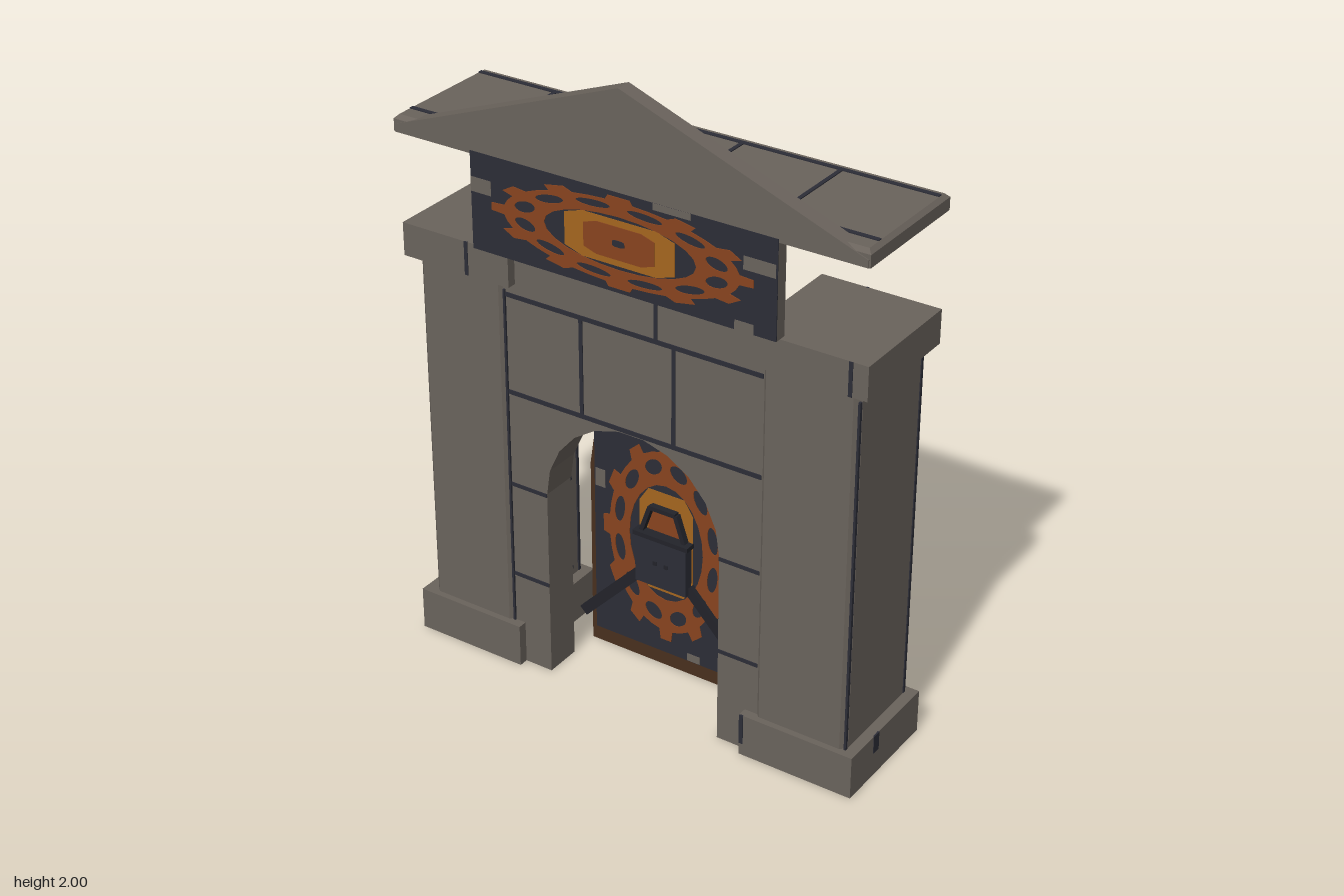
import * as THREE from 'three';

const mat = (name, color) => new THREE.MeshStandardMaterial({ name, color });

export function createModel() {
  const stone = mat('stone', 0x6a635c), dark = mat('dark slate', 0x2c2d37), wood = mat('dark wood', 0x482f1e);
  const copper = mat('copper', 0x88441f), amber = mat('amber', 0xa5661f), black = mat('black iron', 0x22232a);
  const root = new THREE.Group();

  const add = (name, geo, material, parent = root) => {
    const m = new THREE.Mesh(geo, material);
    m.name = name;
    parent.add(m);
    return m;
  };
  // Box given by its minimum and maximum on each axis
  const block = (name, x0, x1, y0, y1, z0, z1, material, parent = root) => {
    const m = add(name, new THREE.BoxGeometry(x1 - x0, y1 - y0, z1 - z0), material, parent);
    m.position.set((x0 + x1) / 2, (y0 + y1) / 2, (z0 + z1) / 2);
    return m;
  };
  const poly = (pts) => new THREE.Shape(pts.map(([x, y]) => new THREE.Vector2(x, y)));
  const slab = (shape, depth, z) =>
    new THREE.ExtrudeGeometry(shape, { depth, bevelEnabled: false }).translate(0, 0, z);
  // Faceted arch outline: half width 0.3, springing at 0.63
  const arch = () => {
    const pts = [[-0.3, 0], [0.3, 0]];
    for (let i = 0; i <= 11; i++) {
      const a = (i / 11) * Math.PI;
      pts.push([0.3 * Math.cos(a), 0.63 + 0.3 * Math.sin(a)]);
    }
    return pts;
  };

  // Pillars: base, chamfered shaft, cap
  for (const s of [-1, 1]) {
    const g = new THREE.Group();
    g.name = s > 0 ? 'leftPillar' : 'rightPillar';
    g.position.x = s * 0.5825;
    root.add(g);
    block('pillarBase', -0.1875, 0.1875, 0, 0.14, -0.2, 0.19, stone, g);
    block('pillarCap', -0.1875, 0.1875, 1.295, 1.4, -0.2, 0.19, stone, g);
    const w = 0.139, d = 0.161, c = 0.01, b = 0.014;
    const section = poly([[-w, -d + c], [-w + c, -d], [w - c, -d], [w, -d + c],
      [w, d - c], [w - c, d], [-w + c, d], [-w, d - c]]);
    const shaft = new THREE.ExtrudeGeometry(section,
      { depth: 1.165, bevelThickness: b, bevelSize: b, bevelSegments: 1 });
    shaft.rotateX(-Math.PI / 2).translate(0, 0.12, -0.005);
    add('pillarShaft', shaft, stone, g);
    // Worn dark edges
    for (const z of [-0.171, 0.161])
      block('edgeWear', 0.147, 0.154, 0.14, 1.27, z - 0.005, z + 0.005, dark, g);
    // Cracks on cap and base
    const cx = s > 0 ? 0.135 : 0.04;
    block('capCrack', cx - 0.006, cx + 0.006, 1.295, 1.4, 0.187, 0.192, dark, g);
    block('capCrackBack', -0.046, -0.036, 1.295, 1.4, -0.202, -0.197, dark, g);
    block('baseChip', 0.184, 0.189, 0.08, 0.14, 0.035, 0.065, dark, g);
    if (s > 0) block('baseCrack', -0.1875, -0.174, 0.04, 0.14, 0.187, 0.192, dark, g);
  }

  // Wall with the arched doorway
  const a = arch();
  add('archWall', slab(poly([[-0.45, 0], a[0], ...a.slice(2).reverse(), a[1],
    [0.45, 0], [0.45, 1.4], [-0.45, 1.4]]), 0.12, 0.04), stone);

  // Mortar seams on both wall faces
  for (const z of [0.16, 0.04]) {
    const seam = (x0, x1, y0, y1) => block('wallSeam', x0, x1, y0, y1, z - 0.003, z + 0.003, dark);
    for (const y of [0.938, 1.255]) seam(-0.435, 0.435, y - 0.007, y + 0.007);
    for (const x of [-0.168, 0.145]) seam(x - 0.006, x + 0.006, 0.938, 1.255);
    seam(0.08, 0.092, 1.255, 1.4);
    for (const y of [0.31, 0.625]) {
      seam(-0.435, -0.3, y - 0.006, y + 0.006);
      seam(0.3, 0.435, y - 0.006, y + 0.006);
    }
  }

  // Roof slab with chamfered upper edge
  const roofGeo = new THREE.BoxGeometry(1.54, 0.05, 0.415, 1, 2, 1);
  const p = roofGeo.attributes.position;
  for (let i = 0; i < p.count; i++) {
    if (p.getY(i) > 0.02) {
      p.setX(i, p.getX(i) - Math.sign(p.getX(i)) * 0.012);
      p.setZ(i, p.getZ(i) - Math.sign(p.getZ(i)) * 0.012);
    } else if (Math.abs(p.getY(i)) < 0.01) p.setY(i, 0.013);
  }
  const roof = roofGeo.toNonIndexed();
  roof.computeVertexNormals();
  add('roofSlab', roof, stone).position.set(0, 1.715, -0.0025);
  for (const z of [-0.176, 0.14]) block('roofSeam', -0.758, 0.758, 1.737, 1.743, z - 0.007, z + 0.007, dark);
  for (const x of [-0.485, -0.17, 0.147, 0.46])
    block('roofSeam', x - 0.006, x + 0.006, 1.737, 1.743, -0.176, 0.14, dark);

  // Gable
  add('gable', slab(poly([[-0.765, 1.69], [0.765, 1.69], [0.765, 1.713], [0, 2], [-0.765, 1.713]]),
    0.05, 0.158), stone);

  // Gear emblem of unit radius, stretched to an ellipse
  const emblem = (name, rx, ry, x, y, z) => {
    const g = new THREE.Group();
    g.name = name;
    g.position.set(x, y, z);
    g.scale.set(rx, ry, 1);
    root.add(g);
    const n = 12, pts = [];
    for (let i = 0; i < n; i++) {
      for (const [t, r] of [[-0.5, 0.9], [-0.22, 0.9], [-0.16, 1], [0.16, 1], [0.22, 0.9]]) {
        const q = ((i + t) / n) * Math.PI * 2;
        pts.push([r * Math.cos(q), r * Math.sin(q)]);
      }
    }
    const ring = poly(pts);
    ring.holes.push(new THREE.Path().absellipse(0, 0, 0.58, 0.58, 0, Math.PI * 2, true));
    for (let i = 0; i < n; i++) {
      const q = ((i + 0.5) / n) * Math.PI * 2;
      ring.holes.push(new THREE.Path().absellipse(0.755 * Math.cos(q), 0.755 * Math.sin(q),
        0.075, 0.135, 0, Math.PI * 2, true, q));
    }
    add('gearRing', slab(ring, 0.003, 0), copper, g);
    const plate = (label, w, h, c, zz, m) => add(label, slab(poly([[-w + c, -h], [w - c, -h], [w, -h + c],
      [w, h - c], [w - c, h], [-w + c, h], [-w, h - c], [-w, -h + c]]), 0.002, zz), m, g);
    plate('gearHub', 0.42, 0.5, 0.14, 0, amber);
    plate('hubCentre', 0.27, 0.36, 0.1, 0.002, copper);
    plate('hubPin', 0.045, 0.07, 0.02, 0.004, dark);
  };

  // Sign board above the lintel
  block('signBoard', -0.5, 0.5, 1.4, 1.7, 0.168, 0.207, stone);
  block('signFace', -0.5, 0.5, 1.4, 1.7, 0.206, 0.209, dark);
  emblem('signEmblem', 0.43, 0.137, 0, 1.55, 0.2085);
  for (const [x, y, w, h] of [[-0.465, 1.6, 0.07, 0.045], [0.445, 1.605, 0.1, 0.04],
    [0.4, 1.415, 0.06, 0.03], [0.17, 1.69, 0.12, 0.02]])
    block('signChip', x - w / 2, x + w / 2, y - h / 2, y + h / 2, 0.207, 0.21, stone);

  // Door set behind the doorway, with its metal plate
  add('door', slab(poly(arch()), 0.035, -0.095), wood);
  block('doorPlate', -0.257, 0.257, 0.08, 0.855, -0.06, -0.02, dark);
  emblem('doorEmblem', 0.225, 0.345, 0, 0.47, -0.0205);
  for (const [x, y, w, h] of [[0.1, 0.83, 0.045, 0.045], [-0.235, 0.62, 0.035, 0.06],
    [0.235, 0.6, 0.04, 0.11], [0.1, 0.095, 0.045, 0.025]])
    block('plateChip', x - w / 2, x + w / 2, y - h / 2, y + h / 2, -0.021, -0.018, stone);

  // Lock box with handle and two braces
  block('lockBox', -0.09, 0.09, 0.33, 0.5, -0.022, 0.012, dark);
  block('lockRim', -0.097, 0.097, 0.49, 0.505, -0.022, 0.016, black);
  const bar = (name, x0, y0, x1, y1, w, d, z) => {
    const m = add(name, new THREE.BoxGeometry(Math.hypot(x1 - x0, y1 - y0), w, d), black);
    m.position.set((x0 + x1) / 2, (y0 + y1) / 2, z);
    m.rotation.z = Math.atan2(y1 - y0, x1 - x0);
  };
  bar('handleTop', -0.045, 0.592, 0.045, 0.592, 0.014, 0.02, -0.006);
  for (const s of [-1, 1]) {
    bar('handleSide', s * 0.075, 0.505, s * 0.045, 0.592, 0.014, 0.02, -0.006);
    bar('brace', s * 0.085, 0.35, s * 0.295, 0.13, 0.034, 0.02, -0.014);
    block('lockRivet', s * 0.02 - 0.006, s * 0.02 + 0.006, 0.405, 0.418, 0.01, 0.015, black);
  }
  return root;
}
